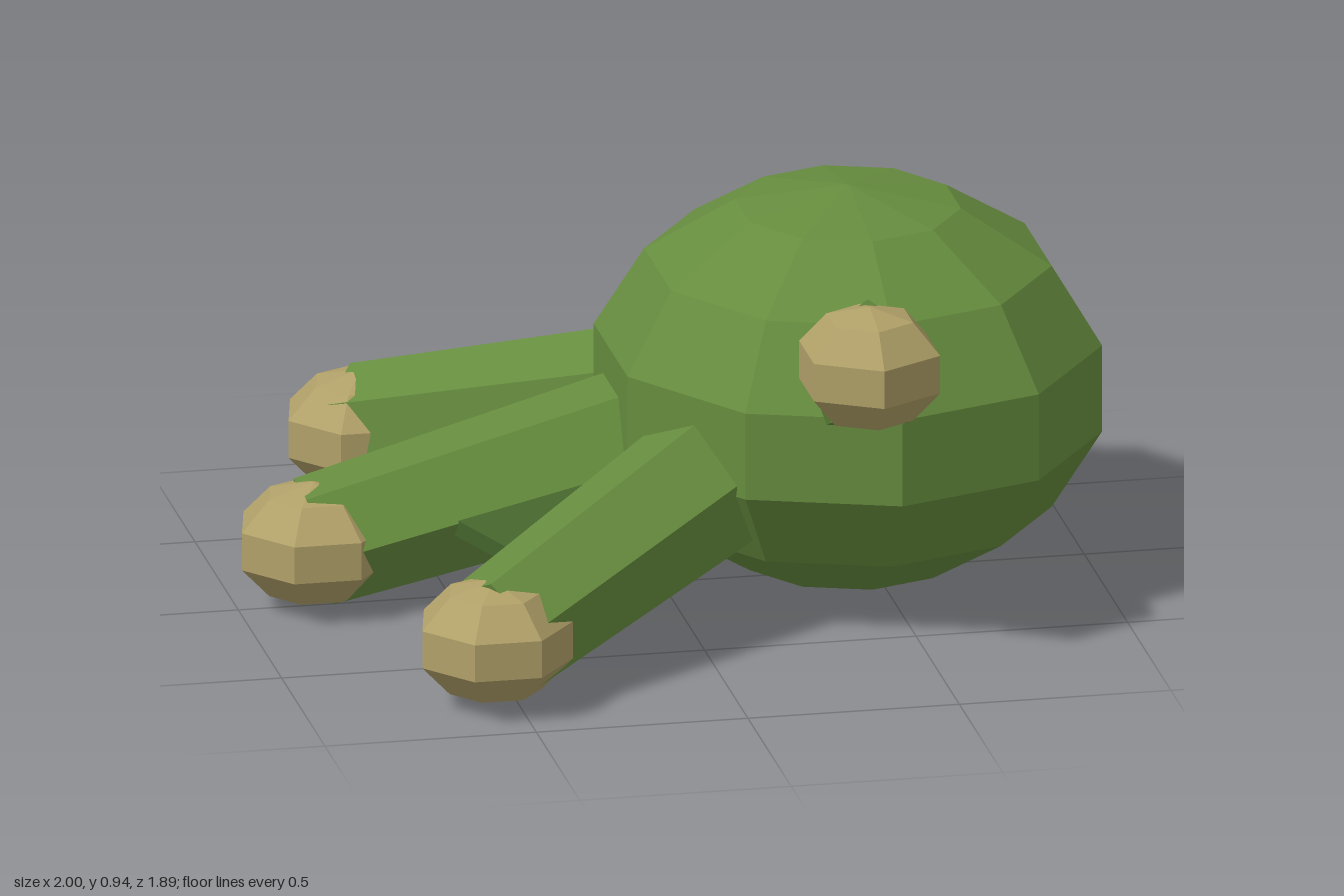
import * as THREE from 'three';

const mat = (color) => new THREE.MeshStandardMaterial({ color, flatShading: true });
const V = (x, y, z) => new THREE.Vector3(x, y, z);

export function createModel() {
  const group = new THREE.Group();
  const skin = mat(0x668c3e);
  const horn = mat(0xb0a068);
  const webSkin = mat(0x43632c);
  const centre = V(0.44, 0.48, 0.006);

  const add = (name, geometry, material) => {
    const mesh = new THREE.Mesh(geometry, material);
    mesh.name = name;
    group.add(mesh);
    return mesh;
  };

  // Faceted ellipsoid with one corner of each ring on the -z or +z side
  const blob = (name, pos, rx, ry, rz, sides, rows, material) => {
    const g = new THREE.SphereGeometry(1, sides, rows, -Math.PI / 2);
    g.scale(rx, ry, rz);
    add(name, g, material).position.copy(pos);
  };

  // Tapered prism from the body centre to a tip; twist turns its corners away from straight up
  const limb = (name, tip, rootRadius, tipRadius, sides, twist) => {
    const dir = tip.clone().sub(centre);
    const length = dir.length();
    dir.normalize();
    const side = dir.clone().cross(V(0, 1, 0)).normalize();
    const up = side.clone().cross(dir);
    const g = new THREE.CylinderGeometry(tipRadius, rootRadius, length, sides);
    g.rotateY(THREE.MathUtils.degToRad(twist));
    g.translate(0, length / 2, 0);
    g.applyMatrix4(new THREE.Matrix4().makeBasis(side, dir, up).setPosition(centre));
    add(name, g, skin);
  };

  // Rounded body
  blob('body', centre, 0.605, 0.4725, 0.648, 10, 7, skin);

  // Three spread toes with blunt claws
  const toes = [
    { name: 'front', tip: V(-0.555, 0.165, 0.78), twist: -8 },
    { name: 'middle', tip: V(-0.823, 0.165, 0.006), twist: 30 },
    { name: 'back', tip: V(-0.555, 0.165, -0.765), twist: 8 },
  ];
  for (const { name, tip, twist } of toes) {
    limb(name + 'Toe', tip, 0.195, 0.155, 6, twist);
    blob(name + 'Claw', tip, 0.192, 0.146, 0.192, 7, 5, horn);
  }

  // Raised spur on the front side
  const spurTip = V(0.35, 0.742, 0.697);
  limb('spur', spurTip, 0.16, 0.157, 5, 0);
  blob('spurClaw', spurTip, 0.181, 0.148, 0.181, 6, 5, horn);

  // Thin triangular webs between neighbouring toes
  const web = (name, a, b) => {
    const half = 0.02;
    const corners = [centre, a, b].map((p) => p.clone());
    const top = corners.map((p) => p.clone().setY(p.y + half));
    const low = corners.map((p) => p.clone().setY(p.y - half));
    const tris = [top[0], top[2], top[1], low[0], low[1], low[2]];
    for (let i = 0; i < 3; i++) {
      const j = (i + 1) % 3;
      tris.push(low[i], top[i], top[j], low[i], top[j], low[j]);
    }
    const g = new THREE.BufferGeometry().setFromPoints(tris);
    g.computeVertexNormals();
    add(name, g, webSkin).material.side = THREE.DoubleSide;
  };
  const edge = toes.map(({ tip }) => centre.clone().lerp(tip, 0.8));
  web('frontWeb', edge[0], edge[1]);
  web('backWeb', edge[1], edge[2]);

  return group;
}
